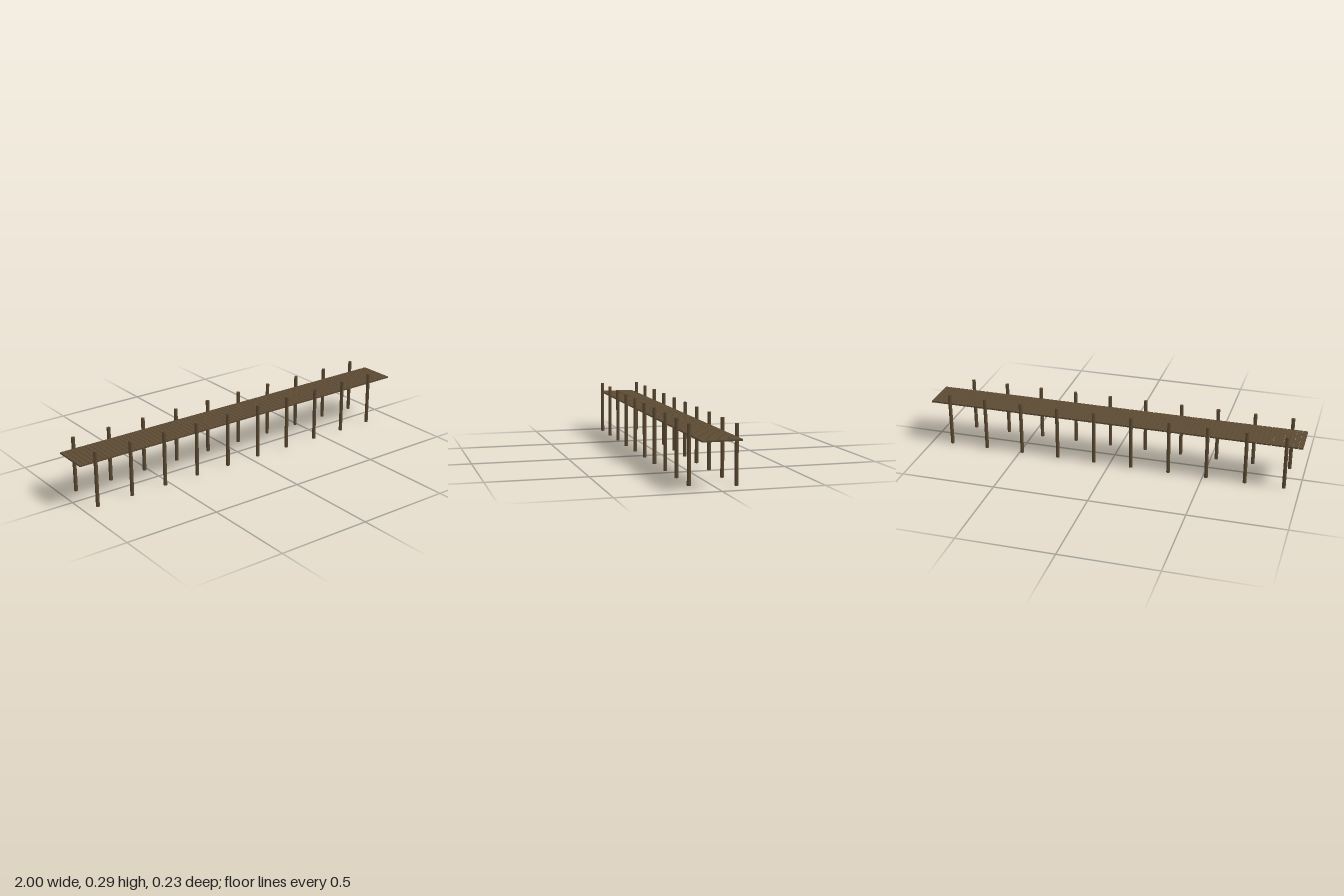
import * as THREE from 'three';

export function createModel() {
  const model = new THREE.Group();
  model.name = 'pier';

  const wood = new THREE.MeshStandardMaterial({ color: 0x5c4a33 });
  wood.name = 'weathered wood';

  // Deck of narrow cross planks with thin gaps
  const deck = new THREE.Group();
  deck.name = 'deck';
  const plankCount = 76, gap = 0.002;
  const pitch = (2 + gap) / plankCount;
  const plankGeometry = new THREE.BoxGeometry(pitch - gap, 0.008, 0.192);
  for (let i = 0; i < plankCount; i++) {
    const plank = new THREE.Mesh(plankGeometry, wood);
    plank.name = 'plank';
    plank.position.set(-1 + (pitch - gap) / 2 + i * pitch, 0.229, 0);
    deck.add(plank);
  }
  model.add(deck);

  // Round posts; the two rows have slightly different spacing
  const postHeight = 0.289;
  const postGeometry = new THREE.CylinderGeometry(0.0095, 0.0095, postHeight, 12);
  function addPostRow(name, z, step) {
    const row = new THREE.Group();
    row.name = name;
    for (let i = 0; i < 10; i++) {
      const post = new THREE.Mesh(postGeometry, wood);
      post.name = 'post';
      post.position.set(-0.92 + i * step, postHeight / 2, z);
      row.add(post);
    }
    model.add(row);
  }
  addPostRow('frontPosts', 0.106, 0.195);
  addPostRow('backPosts', -0.106, 0.201);

  return model;
}
